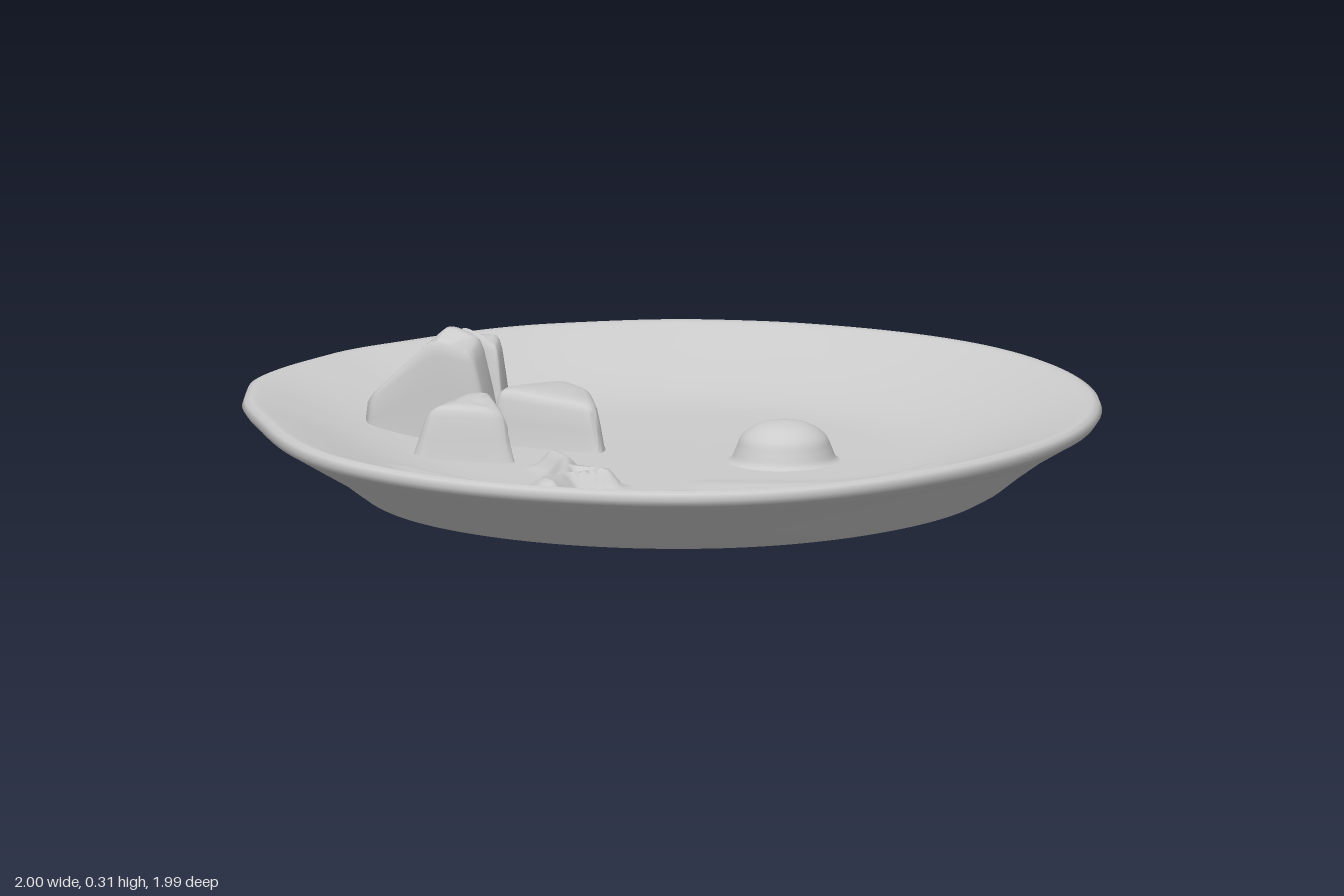
import * as THREE from 'three';
import { mergeVertices, toCreasedNormals } from 'three/addons/utils/BufferGeometryUtils.js';

const material = new THREE.MeshStandardMaterial({ color: 0xcccccc });
const bump = (d, w) => Math.exp(-(d * d) / (w * w));

// Soft ridges on the plate floor: path of [x, z], height, width
const ridges = [
  { path: [[0.36, 0.48], [0.5, 0.43], [0.6, 0.35], [0.66, 0.27], [0.67, 0.17]], h: 0.018, w: 0.035 },
  { path: [[0.2, 0.31], [0.42, 0.27], [0.6, 0.2]], h: 0.006, w: 0.05 },
  { path: [[-0.21, 0.22], [-0.16, 0.29], [-0.13, 0.4], [-0.12, 0.5], [-0.13, 0.6], [-0.1, 0.65]], h: 0.045, w: 0.032 },
  { path: [[-0.13, 0.37], [-0.03, 0.4], [-0.12, 0.47]], h: 0.045, w: 0.025 },
  { path: [[-0.48, 0.49], [-0.3, 0.55], [-0.13, 0.62]], h: 0.012, w: 0.045 },
];

function distToPath(x, z, path) {
  let best = Infinity;
  for (let i = 0; i < path.length - 1; i++) {
    const [ax, az] = path[i], dx = path[i + 1][0] - ax, dz = path[i + 1][1] - az;
    const t = THREE.MathUtils.clamp(((x - ax) * dx + (z - az) * dz) / (dx * dx + dz * dz), 0, 1);
    best = Math.min(best, Math.hypot(x - ax - t * dx, z - az - t * dz));
  }
  return best;
}

// Nearly level floor that sweeps up into the rim
const floorY = (r) => 0.074 + 0.06 * THREE.MathUtils.smoothstep(r, 0.5, 1) + 0.06 * Math.pow(r / 0.965, 4);

function floorRelief(x, z) {
  let y = 0;
  for (const { path, h, w } of ridges) y = Math.max(y, h * bump(distToPath(x, z, path), w));
  return y;
}

// Uneven outline: rim radius against angle (from +x towards +z)
const rim = [[-180, 0.995], [-160, 0.965], [-145, 0.945], [-121, 0.972], [-100, 0.995], [-87, 1], [-58, 1.012], [-27, 1.002],
  [0, 1], [31, 0.985], [63, 1.008], [92, 0.988], [124, 0.992], [153, 0.958], [170, 0.982], [180, 0.995]];

function rimRadius(a) {
  const deg = THREE.MathUtils.clamp(THREE.MathUtils.radToDeg(a), -179.999, 179.999);
  const k = rim.findIndex(([d]) => d > deg);
  const [d0, r0] = rim[k - 1], [d1, r1] = rim[k];
  return THREE.MathUtils.lerp(r0, r1, THREE.MathUtils.smoothstep(deg, d0, d1));
}

// Hand-shaped plate: turned profile with an uneven rim and underside
function makePlate() {
  const outer = [[0, 0], [0.4, 0], [0.725, 0], [0.74, 0.004], [0.78, 0.025], [0.83, 0.062], [0.9, 0.108],
    [0.96, 0.143], [0.99, 0.16], [1, 0.175], [0.994, 0.19], [0.98, 0.196]];
  const profile = outer.map(([r, y]) => new THREE.Vector2(r, y));
  const rings = 80;
  for (let i = 0; i <= rings; i++) {
    const r = 0.965 * (1 - i / rings);
    profile.push(new THREE.Vector2(r, floorY(r)));
  }
  const geo = new THREE.LatheGeometry(profile, 180);
  const p = geo.attributes.position;
  for (let i = 0; i < p.count; i++) {
    let x = p.getX(i), y = p.getY(i), z = p.getZ(i);
    const j = i % profile.length, r = Math.hypot(x, z), a = Math.atan2(z, x);
    const edge = THREE.MathUtils.smoothstep(r, 0.6, 0.97);
    if (j >= outer.length) y += floorRelief(x, z) * (1 - edge);
    y += edge * 0.004 * Math.cos(2 * a) * Math.min(1, y / 0.15);
    // raised hollow on the right of the underside
    if (j > 3 && j < 7) y += 0.022 * bump(Math.abs(a) - Math.PI, 0.6) * (j < 6 ? 1 : 0.3);
    const s = THREE.MathUtils.lerp(1, rimRadius(a), edge);
    const shift = j < 6 ? 1 - edge : 0;
    p.setXYZ(i, x * s + 0.015 * shift, y, z * s - 0.025 * shift);
  }
  geo.deleteAttribute('normal');
  geo.deleteAttribute('uv');
  const merged = mergeVertices(geo, 1e-5);
  merged.computeVertexNormals();
  return merged;
}

// Wedge piece: lofted from a base outline [x, z] to a top outline [x, y, z]
function makeWedge(base, top) {
  const n = 48, loops = [];
  const curve = (pts) => new THREE.CatmullRomCurve3(pts, true, 'catmullrom', 0.22);
  const low = curve(base.map(([x, z]) => new THREE.Vector3(x, 0.065, z)));
  const high = curve(top.map(([x, y, z]) => new THREE.Vector3(x, y, z)));
  const centre = top.reduce((c, q) => c.add(new THREE.Vector3(...q)), new THREE.Vector3()).divideScalar(top.length);
  // [blend from base to top, scale towards the centre of the top, lift]
  const steps = [[0, 1, 0], [0.15, 0.98, 0], [0.5, 1, 0], [0.85, 1.01, 0], [0.95, 0.98, 0], [1, 0.92, 0], [1, 0.8, 0.004], [1, 0.4, 0.006], [1, 0, 0.007]];
  for (const [t, s, lift] of steps) {
    for (let i = 0; i < n; i++) {
      const v = low.getPoint(i / n).lerp(high.getPoint(i / n), t);
      const c = new THREE.Vector3(centre.x, t < 1 ? v.y : centre.y, centre.z);
      v.sub(c).multiplyScalar(s).add(c);
      loops.push(v.x, v.y + lift, v.z);
    }
  }
  const index = [];
  for (let k = 0; k < steps.length - 1; k++) {
    for (let i = 0; i < n; i++) {
      const a = k * n + i, b = k * n + (i + 1) % n;
      index.push(a, a + n, b, b, a + n, b + n);
    }
  }
  const geo = new THREE.BufferGeometry();
  geo.setAttribute('position', new THREE.Float32BufferAttribute(loops, 3));
  geo.setIndex(index);
  return toCreasedNormals(mergeVertices(geo, 1e-5), 1.1);
}

const wedges = {
  backWedge: [
    [[-0.67, -0.415], [-0.55, -0.4], [-0.45, -0.3], [-0.44, -0.18], [-0.54, -0.205], [-0.725, -0.25]],
    [[-0.65, 0.22, -0.405], [-0.56, 0.25, -0.385], [-0.485, 0.27, -0.3], [-0.47, 0.27, -0.215], [-0.55, 0.3, -0.225], [-0.7, 0.19, -0.26]],
  ],
  tallWedge: [
    [[-0.735, -0.07], [-0.54, -0.18], [-0.43, -0.15], [-0.42, -0.02], [-0.54, 0.02], [-0.71, 0.035]],
    [[-0.72, 0.17, -0.06], [-0.57, 0.315, -0.17], [-0.49, 0.3, -0.15], [-0.475, 0.29, -0.02], [-0.56, 0.315, 0.015], [-0.695, 0.19, 0.028]],
  ],
  innerWedge: [
    [[-0.43, -0.09], [-0.32, -0.23], [-0.21, -0.165], [-0.15, -0.02], [-0.16, 0.03], [-0.42, 0.0]],
    [[-0.4, 0.2, -0.08], [-0.31, 0.19, -0.215], [-0.23, 0.185, -0.15], [-0.18, 0.18, -0.03], [-0.19, 0.18, 0.005], [-0.4, 0.2, -0.02]],
  ],
  frontWedge: [
    [[-0.47, 0.03], [-0.4, 0.02], [-0.31, 0.18], [-0.35, 0.21], [-0.53, 0.225], [-0.56, 0.19]],
    [[-0.46, 0.205, 0.06], [-0.41, 0.21, 0.06], [-0.35, 0.19, 0.16], [-0.38, 0.195, 0.185], [-0.5, 0.195, 0.195], [-0.52, 0.185, 0.17]],
  ],
};

export function createModel() {
  const model = new THREE.Group();
  const add = (name, geo) => {
    const mesh = new THREE.Mesh(geo, material);
    mesh.name = name;
    model.add(mesh);
    return mesh;
  };

  add('plate', makePlate());
  for (const [name, [base, top]] of Object.entries(wedges)) add(name, makeWedge(base, top));

  // Small dollop with a flared foot
  const dollop = new THREE.SplineCurve([[0.145, 0], [0.122, 0.01], [0.11, 0.035], [0.095, 0.065], [0.055, 0.09], [0, 0.098]]
    .map(([r, y]) => new THREE.Vector2(r, y)));
  add('dollop', new THREE.LatheGeometry(dollop.getPoints(20), 40)).position.set(0.275, 0.07, -0.015);

  // Sticky join between the wedges
  const join = add('wedgeJoin', new THREE.SphereGeometry(0.07, 24, 16));
  join.position.set(-0.435, 0.1, -0.02);
  join.scale.set(0.8, 0.9, 1.5);
  return model;
}
